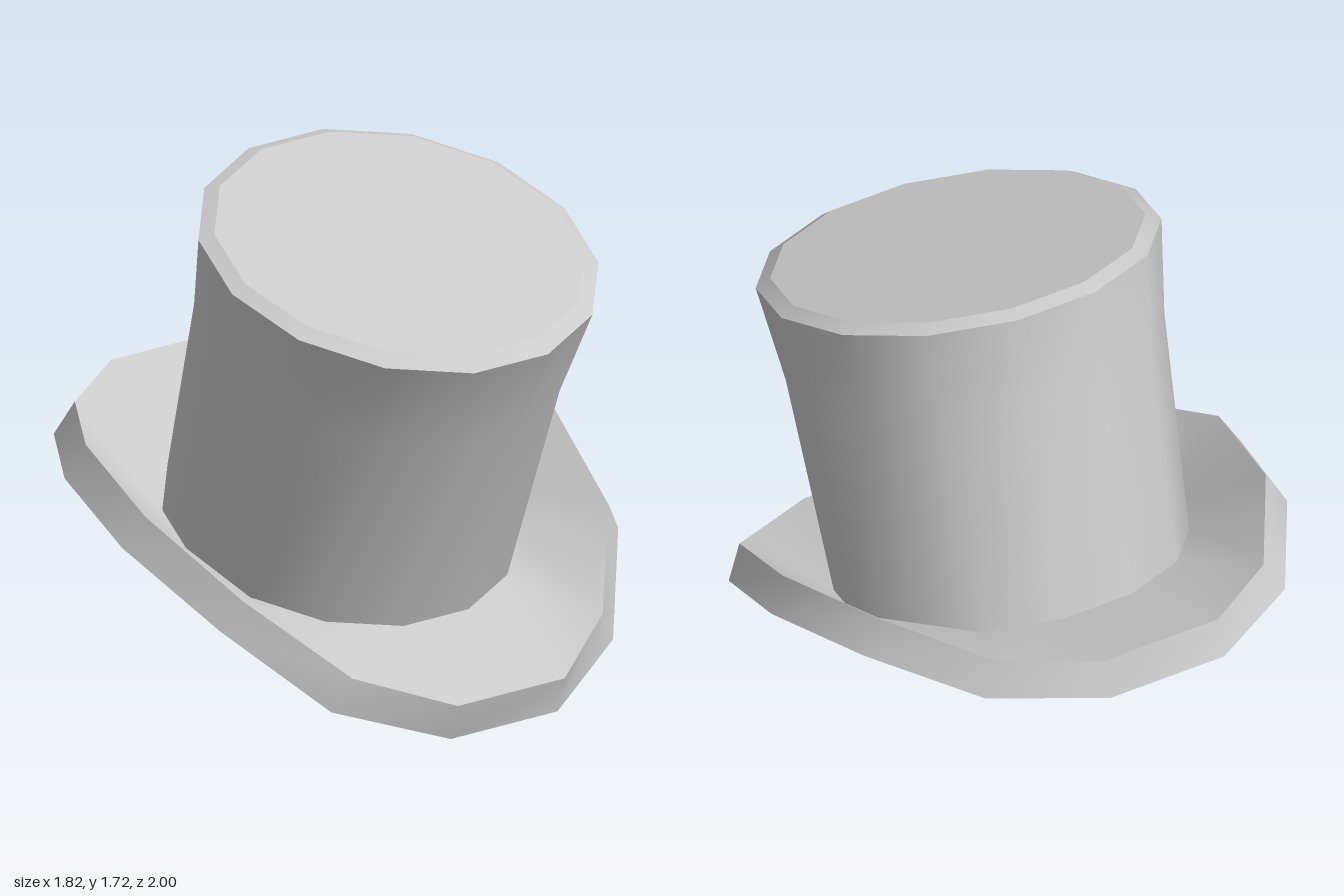
import * as THREE from 'three';

const SIDES = 14;

// Ring mirrored in x from seven points, listed front to back
function mirroredRing(half) {
  const left = half.map(([x, y, z]) => [x, y, z]);
  const right = half.map(([x, y, z]) => [-x, y, z]).reverse();
  return [...left, ...right];
}

// Tilted elliptical ring from its half width and its front and back [y, z]
function tiltedRing(rx, front, back) {
  const edge = Math.cos(Math.PI / SIDES);
  return Array.from({ length: SIDES }, (_, k) => {
    const a = (k + 0.5) * 2 * Math.PI / SIDES;
    const t = Math.cos(a) / edge;
    const mix = i => (front[i] + back[i]) / 2 + t * (front[i] - back[i]) / 2;
    return [rx * Math.sin(a), mix(0), mix(1)];
  });
}

function makeMesh(name, points, index, material) {
  const geometry = new THREE.BufferGeometry();
  geometry.setAttribute('position', new THREE.Float32BufferAttribute(points.flat(), 3));
  geometry.setIndex(index);
  geometry.computeVertexNormals();
  const mesh = new THREE.Mesh(geometry, material);
  mesh.name = name;
  return mesh;
}

// Smooth wall through a stack of rings
function loft(name, rings, material) {
  const index = [];
  for (let r = 0; r < rings.length - 1; r++) {
    for (let k = 0; k < SIDES; k++) {
      const a = r * SIDES + k, b = r * SIDES + (k + 1) % SIDES;
      index.push(a, b, b + SIDES, a, b + SIDES, a + SIDES);
    }
  }
  return makeMesh(name, rings.flat(), index, material);
}

export function createModel() {
  const hat = new THREE.Group();
  hat.name = 'topHat';
  const felt = new THREE.MeshStandardMaterial({ color: 0xcccccc });

  // Brim edge, with its sides curled up
  const brimLower = mirroredRing([
    [0.22, 0, 0.96], [0.58, 0.12, 0.78], [0.82, 0.37, 0.48], [0.91, 0.555, 0.05],
    [0.82, 0.645, -0.4], [0.58, 0.63, -0.79], [0.22, 0.63, -1],
  ]);
  const brimUpper = mirroredRing([
    [0.22, 0.13, 1], [0.515, 0.235, 0.81], [0.755, 0.475, 0.52], [0.845, 0.665, 0.09],
    [0.755, 0.76, -0.37], [0.515, 0.74, -0.76], [0.22, 0.76, -0.96],
  ]);

  // Crown rings, flaring and leaning forward
  const base = tiltedRing(0.6, [0.265, 0.575], [0.62, -0.54]);
  const middle = tiltedRing(0.642, [0.99, 0.84], [1.38, -0.33]);
  const top = tiltedRing(0.685, [1.3, 1], [1.71, -0.275]);
  const cap = tiltedRing(0.635, [1.345, 0.955], [1.72, -0.22]);

  hat.add(
    loft('brimEdge', [brimLower, brimUpper], felt),
    loft('brimTop', [brimUpper, base], felt),
    loft('crown', [base, middle, top], felt),
    loft('crownBevel', [top, cap], felt),
  );

  // Flat lid of the crown
  const lid = [];
  for (let k = 1; k < SIDES - 1; k++) lid.push(0, k, k + 1);
  hat.add(makeMesh('crownTop', cap, lid, felt));

  // Underside: a trough of strips running front to back
  const under = [];
  for (let j = 0; j < 7; j++) {
    const f = (10 + j) % SIDES, fNext = (11 + j) % SIDES;
    const b = 10 - j, bNext = 9 - j;
    if (j > 0) under.push(f, b, bNext);
    if (j < 6) under.push(f, bNext, fNext);
    }
  hat.add(makeMesh('brimUnderside', brimLower, under, felt));

  return hat;
}
